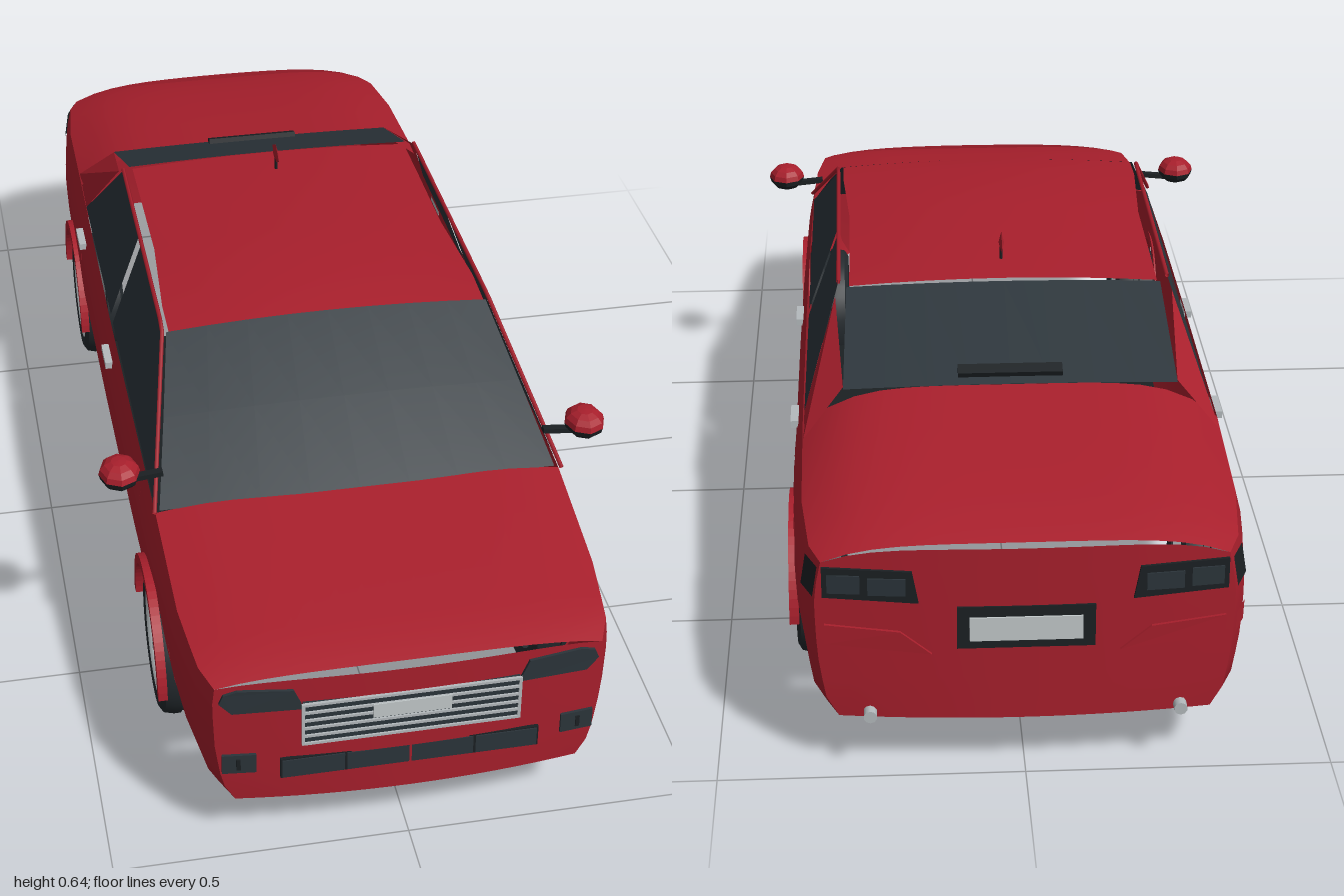
import * as THREE from 'three';
import { toCreasedNormals } from 'three/addons/utils/BufferGeometryUtils.js';

const mat = (name, color) => {
  const m = new THREE.MeshStandardMaterial({ color, side: THREE.DoubleSide });
  m.name = name;
  return m;
};

// Piecewise linear lookup in rows sorted by their first column
function lookup(table, t, col = 1) {
  if (t <= table[0][0]) return table[0][col];
  for (let i = 1; i < table.length; i++) {
    const a = table[i - 1], b = table[i];
    if (t <= b[0]) return a[col] + (b[col] - a[col]) * (t - a[0]) / (b[0] - a[0]);
  }
  return table[table.length - 1][col];
}

// Skin over rows of points
function skin(rows, crease = 0.6) {
  const n = rows[0].length, idx = [];
  for (let i = 0; i < rows.length - 1; i++) for (let j = 0; j < n - 1; j++) {
    const a = i * n + j, b = a + n;
    idx.push(a, b, a + 1, b, b + 1, a + 1);
  }
  const g = new THREE.BufferGeometry();
  g.setAttribute('position', new THREE.Float32BufferAttribute(rows.flat(2), 3));
  g.setIndex(idx);
  return toCreasedNormals(g, crease);
}

// Body stations: z, half width, centre height, belt height
const BODY = [
  [-0.975, 0.335, 0.412, 0.385], [-0.93, 0.355, 0.425, 0.39], [-0.8, 0.371, 0.45, 0.4],
  [-0.55, 0.377, 0.483, 0.412], [-0.05, 0.378, 0.41, 0.405], [0.27, 0.377, 0.41, 0.405],
  [0.57, 0.373, 0.41, 0.398], [0.8, 0.362, 0.385, 0.368], [0.93, 0.345, 0.368, 0.355],
  [0.975, 0.325, 0.357, 0.345],
];
// Side bulge: height, inset from half width
const BULGE = [[0.1, -0.036], [0.14, -0.014], [0.22, -0.003], [0.31, 0], [0.36, -0.006], [0.42, -0.021]];
const AXLES = [0.59, -0.58], ARCH = 0.142, WHEEL = 0.13, SILL = 0.102;
const range = (n) => Array.from({ length: n + 1 }, (_, i) => i / n);
const sideX = (z, y) => lookup(BODY, z) + lookup(BULGE, y);

function bottomY(z) {
  for (const c of AXLES) {
    const d = Math.abs(z - c);
    if (d <= ARCH + 1e-6) return WHEEL + Math.sqrt(Math.max(0, ARCH * ARCH - d * d));
  }
  return SILL;
}

function topRow(z) {
  const ys = lookup(BODY, z, 3), yc = lookup(BODY, z, 2), w = sideX(z, ys);
  return range(16).map((t) => {
    const u = t * 2 - 1;
    return [u * w, yc - (yc - ys) * Math.abs(u) ** 5, z];
  });
}

// Bowed end face at z = +-0.975
function endFace(sign) {
  const z = 0.975 * sign, top = topRow(z), ys = lookup(BODY, z, 3);
  return skin(range(8).map((v) => top.map((p, i) => {
    const u = i / 8 - 1, edge = SILL + (ys - SILL) * v;
    return [u * sideX(z, edge), SILL + (p[1] - SILL) * v, z + sign * 0.02 * (1 - u * u)];
  })));
}

export function createModel() {
  const car = new THREE.Group();
  car.name = 'car';
  const red = mat('red paint', 0xa81f2c), glass = mat('dark glass', 0x2b343a);
  const black = mat('black trim', 0x1b2023), rubber = mat('tyre rubber', 0x23292d);
  const silver = mat('silver metal', 0xb4babd), pale = mat('pale plate', 0xc3cacb);
  const add = (name, geo, m, parent = car) => {
    const mesh = new THREE.Mesh(geo, m);
    mesh.name = name;
    parent.add(mesh);
    return mesh;
  };
  const box = (name, w, h, d, x, y, z, m, parent = car) => {
    const b = add(name, new THREE.BoxGeometry(w, h, d), m, parent);
    b.position.set(x, y, z);
    return b;
  };

  // Bonnet, boot lid and end faces
  add('bonnet', skin([0.57, 0.68, 0.8, 0.88, 0.93, 0.975].map(topRow)), red);
  add('bootLid', skin([-0.975, -0.93, -0.87, -0.8, -0.68, -0.55].map(topRow)), red);
  add('frontFascia', endFace(1), red);
  add('rearFascia', endFace(-1), red);

  // Side panels with round wheel openings
  const zs = BODY.map((b) => b[0]);
  for (const c of AXLES) {
    zs.push(c - ARCH - 0.0005, c + ARCH + 0.0005);
    for (let k = 0; k <= 16; k++) zs.push(c + ARCH * Math.cos(k * Math.PI / 16));
  }
  zs.sort((a, b) => a - b);
  for (const s of [1, -1]) {
    const side = s > 0 ? 'left' : 'right';
    add(side + 'SidePanel', skin(zs.map((z) => range(8).map((t) => {
      const y = bottomY(z) + (lookup(BODY, z, 3) - bottomY(z)) * t;
      return [s * sideX(z, y), y, z];
    }))), red);

    // Side windows leaning inwards, with open gaps between them
    const lean = (z, y) => [s * (0.356 - (y - 0.405) * 0.36), y, z];
    add(side + 'FrontWindow', skin([[lean(0.545, 0.403), lean(0.262, 0.574)], [lean(-0.03, 0.403), lean(-0.03, 0.574)]]), glass);
    add(side + 'RearWindow', skin([[lean(-0.06, 0.403), lean(-0.06, 0.574)], [lean(-0.475, 0.403), lean(-0.31, 0.574)]]), glass);
    add(side + 'RearPillar', skin([[lean(-0.475, 0.403), lean(-0.335, 0.56)],
      [[s * 0.356, 0.412, -0.6], [s * 0.287, 0.484, -0.55]]]), red);
    // Thin front pillar and roof rail
    const path = new THREE.CurvePath(), a = new THREE.Vector3(s * 0.36, 0.405, 0.58), b = new THREE.Vector3(s * 0.298, 0.577, 0.27);
    path.add(new THREE.LineCurve3(a, b));
    path.add(new THREE.LineCurve3(b, new THREE.Vector3(s * 0.294, 0.577, -0.31)));
    add(side + 'Pillar', new THREE.TubeGeometry(path, 24, 0.004, 5), red);

    // Wheel arch flares
    for (const c of AXLES) {
      const ring = new THREE.Shape();
      ring.absarc(0, 0, 0.158, 0, Math.PI, false);
      ring.absarc(0, 0, 0.14, Math.PI, 0, true);
      const flare = add(side + 'ArchFlare', new THREE.ExtrudeGeometry(ring, { depth: 0.016, bevelEnabled: false, curveSegments: 16 }), red);
      flare.rotation.y = Math.PI / 2;
      flare.position.set(s * 0.377 - 0.008, WHEEL, c);
    }

    // Door handles
    for (const z of [0.025, -0.415]) box(side + 'DoorHandle', 0.014, 0.013, 0.065, s * 0.376, 0.364, z, silver);

    // Mirror: red cap, dark lower half, arm
    const mirror = new THREE.Group();
    mirror.name = side + 'Mirror';
    mirror.position.set(s * 0.412, 0.463, 0.53);
    car.add(mirror);
    const half = (name, start, m) => add(name, toCreasedNormals(new THREE.SphereGeometry(1, 8, 4, 0, Math.PI * 2, start, Math.PI / 2), 0.3), m, mirror)
      .scale.set(0.036, 0.026, 0.042);
    half('mirrorCap', 0, red);
    half('mirrorBase', Math.PI / 2, black);
    const arm = box('mirrorArm', 0.06, 0.009, 0.014, -s * 0.045, -0.012, 0, black, mirror);
    arm.rotation.z = -s * 0.1;

    // Wrapped tail light ends and bumper corner trim
    const patch = (name, z0, z1, y0, y1, m) => add(name, skin([z0, z1].map((z) => [y0, y1].map((y) => [s * (sideX(z, y) + 0.004), y, z]))), m);
    patch(side + 'TailLightEnd', -0.932, -0.977, 0.325, 0.378, black);
    patch(side + 'BumperTrim', -0.935, -0.975, 0.24, 0.275, red);
  }

  // Windscreen, rear window and roof
  const bow = (x, y, z, dy, dz) => range(8).map((t) => {
    const u = t * 2 - 1;
    return [u * x, y + dy * (1 - u * u), z + dz * (1 - u * u)];
  });
  add('windscreen', skin([bow(0.35, 0.402, 0.57, 0.008, 0.008), bow(0.32, 0.492, 0.425, 0.012, 0.008), bow(0.292, 0.574, 0.28, 0.012, 0)]), glass);
  add('rearWindow', skin([bow(0.28, 0.573, -0.325, 0.006, 0), bow(0.287, 0.482, -0.555, 0.004, 0)]), glass);
  add('roof', skin([[0.28, 0.574, 0.012], [0.2, 0.578, 0.02], [0, 0.577, 0.02], [-0.2, 0.575, 0.015], [-0.318, 0.572, 0.01]]
    .map(([z, y, d]) => bow(z > 0.1 ? 0.288 : 0.275, y, z, d, 0))), red);
  box('brakeLight', 0.18, 0.012, 0.022, 0, 0.5, -0.53, black).rotation.x = -0.38;

  // Roof aerial
  const stem = add('aerialStem', new THREE.CylinderGeometry(0.003, 0.003, 0.04, 6), black);
  stem.position.set(0, 0.606, -0.24);
  const fin = add('aerialFin', new THREE.OctahedronGeometry(1), red);
  fin.scale.set(0.005, 0.02, 0.035);
  fin.position.set(0, 0.62, -0.243);

  // Floor
  box('floor', 0.68, 0.006, 0.84, 0, 0.108, 0.015, black);

  // Thin shaped panels that follow the bowed end faces
  const ends = [1, -1].map((s) => {
    const g = new THREE.Group();
    g.name = s > 0 ? 'frontDetails' : 'rearDetails';
    if (s < 0) g.rotation.y = Math.PI;
    car.add(g);
    return g;
  });
  const panel = (name, pts, m, parent, lift = 0.002) => [1, -1].forEach((s) => {
    const shape = new THREE.Shape(pts.map(([x, y]) => new THREE.Vector2(x * s, y)));
    const g = new THREE.ExtrudeGeometry(shape, { depth: 0.005, bevelEnabled: false });
    const p = g.attributes.position;
    for (let i = 0; i < p.count; i++) p.setZ(i, p.getZ(i) + 0.974 + lift + 0.02 * (1 - (p.getX(i) / 0.325) ** 2));
    g.computeVertexNormals();
    add(name, g, m, parent);
  });
  const rect = (x0, x1, y0, y1) => [[x0, y0], [x1, y0], [x1, y1], [x0, y1]];
  const [front, rear] = ends;

  // Front: lamps, grille with bars, plate, lower intake
  panel('headlight', [[0.178, 0.298], [0.295, 0.296], [0.315, 0.318], [0.308, 0.335], [0.285, 0.343], [0.195, 0.338]], glass, front);
  panel('fogLight', rect(0.256, 0.312, 0.168, 0.206), glass, front);
  panel('fogLightSlot', rect(0.282, 0.289, 0.176, 0.198), black, front, 0.004);
  box('grille', 0.36, 0.086, 0.008, 0, 0.266, 0.992, glass, front);
  for (let i = 0; i < 6; i++) box('grilleBar', 0.36, 0.005, 0.005, 0, 0.225 + i * 0.0164, 0.9965, silver, front);
  for (const s of [1, -1]) box('grilleEdge', 0.005, 0.086, 0.005, s * 0.18, 0.266, 0.9965, silver, front);
  box('frontPlate', 0.13, 0.028, 0.004, 0, 0.279, 0.9985, pale, front);
  for (let i = 0; i < 4; i++) box('intake', 0.104, 0.036, 0.008, (i - 1.5) * 0.108, 0.172, 0.991, glass, front);
  box('intakeBack', 0.434, 0.04, 0.006, 0, 0.172, 0.99, black, front);

  // Rear: lamps, plate recess, exhausts
  panel('tailLight', [[0.17, 0.318], [0.322, 0.325], [0.322, 0.378], [0.18, 0.374]], black, rear);
  panel('tailLightLens', rect(0.19, 0.25, 0.332, 0.362), glass, rear, 0.004);
  panel('tailLightLens', rect(0.262, 0.314, 0.334, 0.366), glass, rear, 0.004);
  box('plateRecess', 0.22, 0.075, 0.006, 0, 0.272, 0.994, black, rear);
  box('rearPlate', 0.18, 0.042, 0.004, 0, 0.27, 0.998, pale, rear);
  panel('bumperCorner', [[0.15, 0.225], [0.32, 0.24], [0.32, 0.275], [0.2, 0.265]], red, rear);
  for (const s of [1, -1]) {
    const pipe = add('exhaust', new THREE.CylinderGeometry(0.011, 0.011, 0.04, 10), silver, rear);
    pipe.rotation.x = Math.PI / 2;
    pipe.position.set(s * 0.25, 0.112, 0.98);
  }

  // Wheels: tyre, open rim barrel, five split spokes
  const v = (r, h) => new THREE.Vector2(r, h);
  const tyreGeo = toCreasedNormals(new THREE.LatheGeometry([v(0.094, -0.038), v(0.115, -0.043), v(0.126, -0.036), v(0.13, -0.02),
    v(0.13, -0.007), v(0.126, -0.005), v(0.126, 0.005), v(0.13, 0.007), v(0.13, 0.02), v(0.126, 0.036), v(0.115, 0.043), v(0.094, 0.038)], 32), 0.6);
  const barrelGeo = new THREE.LatheGeometry([v(0.084, -0.036), v(0.08, 0.02), v(0.088, 0.036), v(0.097, 0.041)], 32);
  for (const s of [1, -1]) for (const z of AXLES) {
    const wheel = new THREE.Group();
    wheel.name = (z > 0 ? 'front' : 'rear') + (s > 0 ? 'Left' : 'Right') + 'Wheel';
    wheel.position.set(s * 0.332, WHEEL, z);
    wheel.rotation.z = -s * Math.PI / 2;
    car.add(wheel);
    add('tyre', tyreGeo, rubber, wheel);
    add('rim', barrelGeo, silver, wheel);
    add('hub', new THREE.CylinderGeometry(0.022, 0.026, 0.02, 10), silver, wheel).position.y = 0.028;
    for (let i = 0; i < 5; i++) {
      const spoke = new THREE.Group();
      spoke.name = 'spoke';
      spoke.rotation.y = i * Math.PI * 0.4;
      wheel.add(spoke);
      for (const k of [1, -1]) box('spokeArm', 0.075, 0.012, 0.011, 0.052, 0.03, k * 0.009, silver, spoke).rotation.y = -k * 0.1;
    }
  }
  return car;
}
